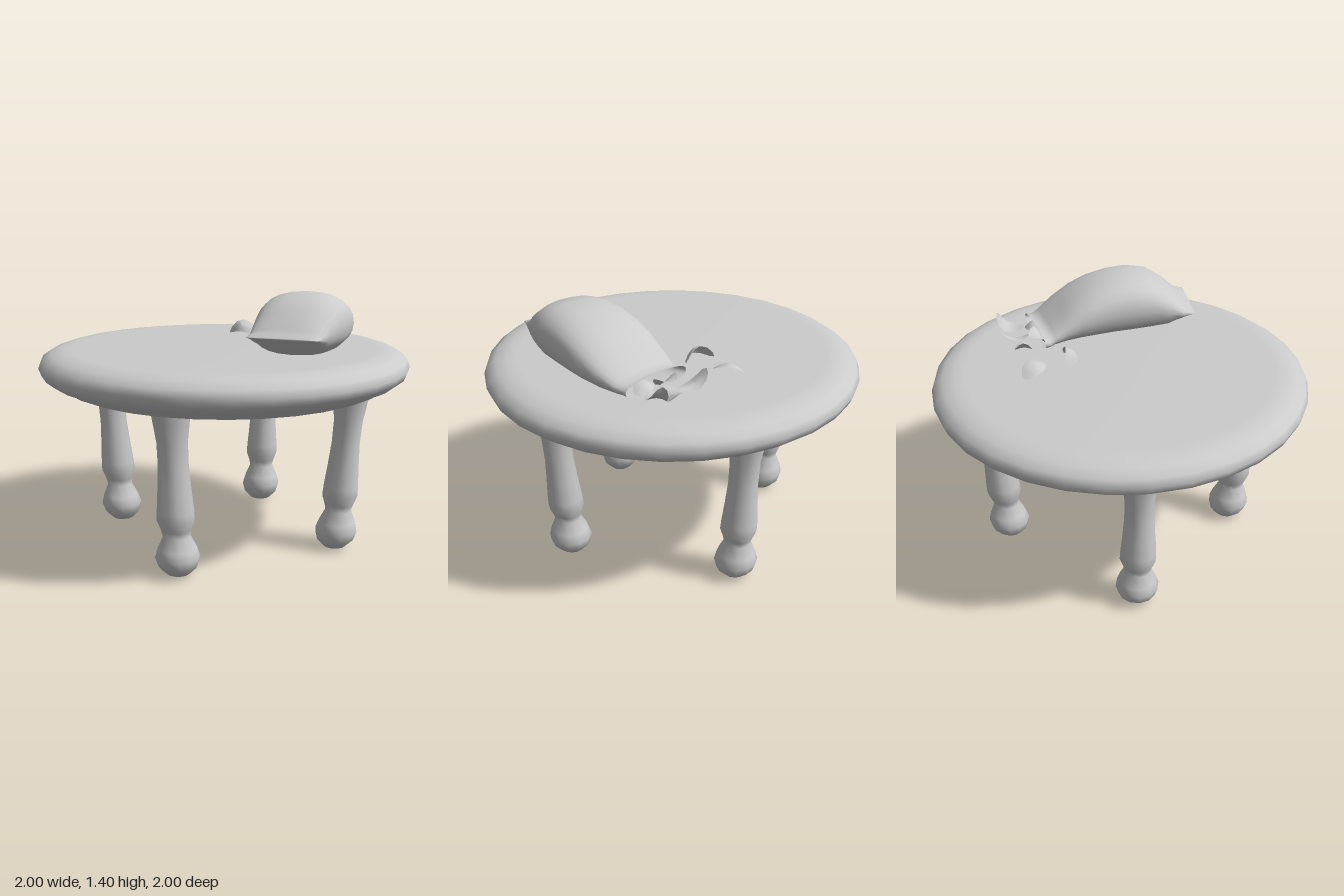
import * as THREE from 'three';

const material = new THREE.MeshStandardMaterial({ color: 0xcccccc });
const thinMaterial = new THREE.MeshStandardMaterial({ color: 0xcccccc, side: THREE.DoubleSide });

function addMesh(parent, name, geometry, mat = material) {
  const mesh = new THREE.Mesh(geometry, mat);
  mesh.name = name;
  parent.add(mesh);
  return mesh;
}

const toPoints = (list) => list.map(([r, y]) => new THREE.Vector2(r, y));

// Round top with a bulging rim and a small step underneath
function tabletopGeometry() {
  return new THREE.LatheGeometry(toPoints([
    [0, 0.87], [0.8, 0.87], [0.82, 0.87], [0.87, 0.89], [0.89, 0.91], [0.94, 0.925],
    [0.985, 0.96], [1, 1.0], [0.985, 1.04], [0.94, 1.07], [0.88, 1.088], [0.82, 1.09], [0, 1.09],
  ]), 32);
}

// Turned leg with a ball foot, leaning outwards as it rises
function legGeometry() {
  const geometry = new THREE.LatheGeometry(toPoints([
    [0, 0.01], [0.06, 0.02], [0.1, 0.06], [0.115, 0.11], [0.1, 0.16], [0.07, 0.225],
    [0.078, 0.26], [0.096, 0.31], [0.094, 0.36], [0.084, 0.48], [0.076, 0.6],
    [0.077, 0.72], [0.09, 0.82], [0.1, 0.89],
  ]), 12);
  const p = geometry.attributes.position;
  for (let i = 0; i < p.count; i++) p.setX(i, p.getX(i) + 0.645 + 0.08 * p.getY(i));
  return geometry;
}

// Puffed bag lofted from rounded sections: z, left x, right x, bottom y, top y, skew
function bagGeometry() {
  const sections = [
    [0.46, 0.29, 0.65, 1.205, 1.215, 0], [0.43, 0.285, 0.655, 1.19, 1.23, 0],
    [0.4, 0.285, 0.66, 1.165, 1.25, 0], [0.32, 0.275, 0.68, 1.115, 1.33, 0],
    [0.22, 0.26, 0.705, 1.098, 1.39, 0], [0.11, 0.245, 0.715, 1.09, 1.407, 0],
    [0, 0.23, 0.705, 1.09, 1.4, -0.03], [-0.1, 0.215, 0.69, 1.09, 1.375, -0.06],
    [-0.2, 0.205, 0.665, 1.09, 1.33, -0.1], [-0.29, 0.195, 0.625, 1.092, 1.265, -0.16],
    [-0.37, 0.185, 0.57, 1.095, 1.195, -0.22], [-0.4, 0.165, 0.545, 1.095, 1.18, -0.24],
    [-0.43, 0.15, 0.54, 1.095, 1.185, -0.24],
  ];
  const sides = 24, positions = [], index = [];
  const soft = (v) => Math.sign(v) * Math.pow(Math.abs(v), 0.85);
  sections.forEach(([z, x0, x1, y0, y1, skew], row) => {
    for (let i = 0; i < sides; i++) {
      const a = (i / sides) * Math.PI * 2;
      const dx = soft(Math.cos(a)) * (x1 - x0) / 2;
      positions.push((x0 + x1) / 2 + dx, (y0 + y1) / 2 + soft(Math.sin(a)) * (y1 - y0) / 2, z + dx * skew);
      if (row === 0) continue;
      const j = (i + 1) % sides, c = row * sides, b = c - sides;
      index.push(b + i, c + i, b + j, b + j, c + i, c + j);
    }
  });
  // Close the sealed front end, leaving the mouth open
  for (let i = 1; i < sides - 1; i++) index.push(0, i, i + 1);
  const geometry = new THREE.BufferGeometry();
  geometry.setAttribute('position', new THREE.Float32BufferAttribute(positions, 3));
  geometry.setIndex(index);
  geometry.computeVertexNormals();
  return geometry;
}

// Thin oval crisp, bent along its length
function chipGeometry(length, width, bend) {
  const geometry = new THREE.RingGeometry(0.001, 1, 12, 3);
  geometry.rotateX(-Math.PI / 2);
  const p = geometry.attributes.position;
  for (let i = 0; i < p.count; i++) {
    const u = p.getX(i), v = p.getZ(i);
    p.setXYZ(i, u * length / 2, bend * (u * u - 0.4) - 0.012 * v * v, v * width / 2);
  }
  geometry.computeVertexNormals();
  return geometry;
}

export function createModel() {
  const model = new THREE.Group();
  model.name = 'snackTable';

  const table = new THREE.Group();
  table.name = 'table';
  model.add(table);
  addMesh(table, 'tabletop', tabletopGeometry());
  const leg = legGeometry();
  for (let i = 0; i < 4; i++) addMesh(table, 'leg', leg).rotation.y = i * Math.PI / 2;

  addMesh(model, 'snackBag', bagGeometry(), thinMaterial);

  // Crisps: position, length, width, bend, tilt, yaw, pitch
  const chips = new THREE.Group();
  chips.name = 'spilledChips';
  model.add(chips);
  [
    [-0.06, 1.135, -0.46, 0.17, 0.11, -0.04, 0.3, -0.6, 0.15],
    [0.01, 1.155, -0.265, 0.17, 0.09, -0.07, 0.75, 0, 0],
    [0.185, 1.135, -0.505, 0.18, 0.1, 0.03, 0, 0, -0.4],
    [0.33, 1.125, -0.54, 0.17, 0.09, 0.03, 0.3, Math.PI / 2, 0.1],
    [0.43, 1.155, -0.575, 0.17, 0.1, 0.045, -0.2, 1.45, 0.5],
    [0.29, 1.135, -0.42, 0.15, 0.09, 0.03, 0.4, 0.3, 0.1],
    [0.42, 1.14, -0.44, 0.14, 0.09, -0.03, -0.4, 0.5, -0.1],
  ].forEach(([x, y, z, length, width, bend, tilt, yaw, pitch]) => {
    const chip = addMesh(chips, 'chip', chipGeometry(length, width, bend), thinMaterial);
    chip.position.set(x, y, z);
    chip.rotation.set(tilt, yaw, pitch, 'YZX');
  });

  return model;
}
